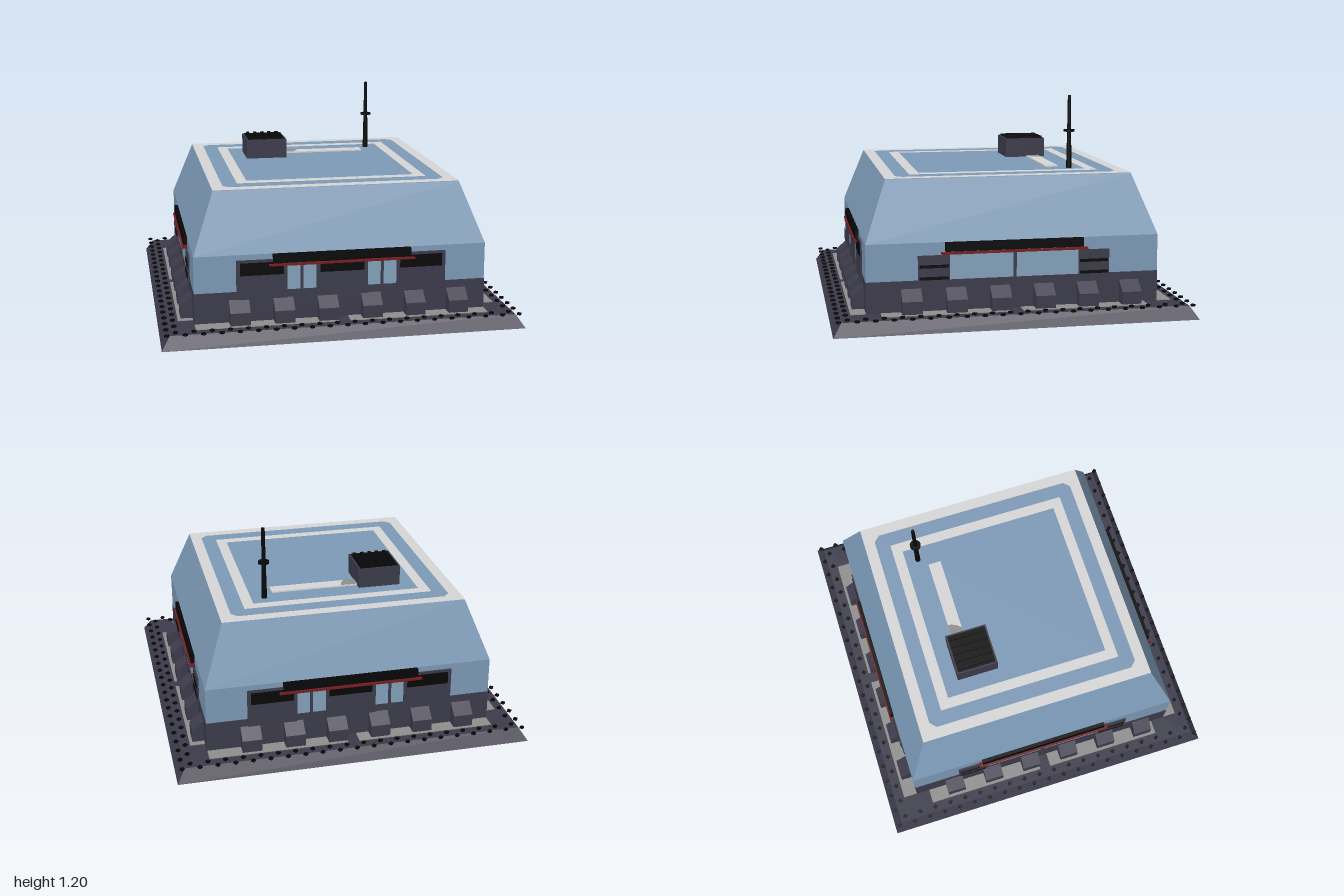
import * as THREE from 'three';

const mat = (name, color, side = THREE.FrontSide) => {
  const m = new THREE.MeshStandardMaterial({ color, side });
  m.name = name;
  return m;
};

export function createModel() {
  const dark = mat('dark slate', 0x3d3b4b, THREE.DoubleSide);
  const blue = mat('blue cladding', 0x7d9ab7);
  const glass = mat('glass', 0x85a2bd);
  const pale = mat('pale grey', 0xd6d6d6);
  const grey = mat('mid grey', 0x8e8e8d);
  const black = mat('black', 0x070707);
  const red = mat('red trim', 0x741c1f);

  const root = new THREE.Group();
  root.name = 'building';

  const add = (parent, name, geometry, material, x = 0, y = 0, z = 0) => {
    const mesh = new THREE.Mesh(geometry, material);
    mesh.name = name;
    mesh.position.set(x, y, z);
    parent.add(mesh);
    return mesh;
  };
  // Box given by its extents on each axis
  const box = (parent, name, material, x0, x1, y0, y1, z0, z1) =>
    add(parent, name, new THREE.BoxGeometry(x1 - x0, y1 - y0, z1 - z0), material,
      (x0 + x1) / 2, (y0 + y1) / 2, (z0 + z1) / 2);
  // Square shell tapering from half width a to half width b, without caps
  const frustum = (name, material, a, b, y0, y1) => {
    const g = new THREE.CylinderGeometry(b * Math.SQRT2, a * Math.SQRT2, y1 - y0, 4, 1, true)
      .rotateY(Math.PI / 4).toNonIndexed();
    g.computeVertexNormals();
    return add(root, name, g, material, 0, (y0 + y1) / 2, 0);
  };
  // Flat square facing up
  const deck = (name, material, r, y) =>
    add(root, name, new THREE.PlaneGeometry(2 * r, 2 * r).rotateX(-Math.PI / 2), material, 0, y, 0);
  // Square outline with cut corners
  const squarePoints = (r, c = 0) => (c
    ? [[r, c - r], [r, r - c], [r - c, r], [c - r, r], [-r, r - c], [-r, c - r], [c - r, -r], [r - c, -r]]
    : [[r, -r], [r, r], [-r, r], [-r, -r]]).map(p => new THREE.Vector2(...p));
  const roofFrame = (name, outer, inner, cut) => {
    const shape = new THREE.Shape(squarePoints(outer));
    shape.holes.push(new THREE.Path(squarePoints(inner, cut)));
    const g = new THREE.ShapeGeometry(shape).rotateX(-Math.PI / 2);
    add(root, name, g, pale, 0, 0.783, 0);
  };

  // Hollow plinth, open underneath, and main body
  frustum('basePlinth', dark, 1, 0.955, 0, 0.07);
  deck('plinthDeck', dark, 0.955, 0.07);
  frustum('lowerWall', dark, 0.814, 0.814, 0.07, 0.245);
  frustum('upperWall', blue, 0.812, 0.812, 0.245, 0.45);
  frustum('slopedRoof', blue, 0.812, 0.69, 0.45, 0.78);
  deck('roofDeck', blue, 0.69, 0.78);

  // Roof markings
  roofFrame('roofBorder', 0.69, 0.625, 0.035);
  roofFrame('roofInnerStripe', 0.54, 0.48, 0);

  // Roof vent with slatted top
  const vent = new THREE.Group();
  vent.name = 'roofVent';
  root.add(vent);
  box(vent, 'ventBox', dark, -0.395, -0.152, 0.78, 0.895, -0.395, -0.152);
  box(vent, 'ventTop', black, -0.385, -0.162, 0.89, 0.898, -0.385, -0.162);
  for (let i = 0; i < 5; i++) {
    const x = -0.363 + i * 0.045;
    box(vent, 'ventSlat', black, x - 0.009, x + 0.009, 0.895, 0.906, -0.385, -0.162);
  }

  // Roof duct with a rounded darker end by the vent
  box(root, 'roofDuct', pale, -0.152, 0.35, 0.78, 0.788, -0.355, -0.28);
  const pad = new THREE.Shape();
  pad.moveTo(-0.152, 0.28);
  pad.lineTo(-0.095, 0.28);
  pad.quadraticCurveTo(-0.06, 0.31, -0.055, 0.355);
  pad.lineTo(-0.152, 0.355);
  add(root, 'ductEnd', new THREE.ShapeGeometry(pad).rotateX(-Math.PI / 2), grey, 0, 0.79, 0);

  // Antenna
  const mast = new THREE.Group();
  mast.name = 'antenna';
  mast.position.set(0.404, 0, -0.407);
  root.add(mast);
  add(mast, 'lowerMast', new THREE.CylinderGeometry(0.012, 0.016, 0.22, 10), black, 0, 0.89, 0);
  add(mast, 'upperMast', new THREE.CylinderGeometry(0.01, 0.012, 0.2, 10), black, 0, 1.1, 0);
  add(mast, 'mastDisc', new THREE.CylinderGeometry(0.032, 0.032, 0.012, 16), black, 0, 0.997, 0);

  // Sloped barrier block, profile in depth and height
  const profile = new THREE.Shape([[0.8, 0.07], [0.88, 0.07], [0.88, 0.145], [0.812, 0.203], [0.8, 0.203]]
    .map(p => new THREE.Vector2(...p)));
  const blockGeo = new THREE.ExtrudeGeometry(profile, { depth: 0.11, bevelEnabled: false })
    .rotateY(-Math.PI / 2).translate(0.055, 0, 0);
  const boltGeo = new THREE.CylinderGeometry(0.014, 0.014, 0.011, 4);

  // Entrance facade: three dark bays with two glazed doors between
  const entrance = side => {
    for (const [x0, x1] of [[-0.583, -0.305], [-0.143, 0.143], [0.305, 0.583]]) {
      box(side, 'bay', dark, x0, x1, 0.2, 0.42, 0.8, 0.82);
      box(side, 'bayWindow', black, x0 + 0.02, x1 - 0.02, 0.335, 0.405, 0.819, 0.824);
    }
    for (const s of [-1, 1]) {
      const x = s * 0.224;
      box(side, 'doorGlass', glass, x - 0.081, x + 0.081, 0.245, 0.4, 0.81, 0.816);
      box(side, 'doorPost', dark, x - 0.008, x + 0.008, 0.245, 0.4, 0.81, 0.82);
    }
  };

  // Window facade: wide glazing with a louvred box at each end
  const windows = side => {
    box(side, 'wideGlass', glass, -0.36, 0.36, 0.245, 0.4, 0.81, 0.816);
    box(side, 'windowPost', dark, -0.009, 0.009, 0.245, 0.4, 0.81, 0.82);
    for (const s of [-1, 1]) {
      const x = s * 0.445;
      box(side, 'louvreBox', dark, x - 0.087, x + 0.087, 0.218, 0.38, 0.8, 0.82);
      for (const y of [0.255, 0.32])
        box(side, 'louvreSlot', black, x - 0.079, x + 0.079, y - 0.008, y + 0.008, 0.818, 0.826);
    }
  };

  for (let k = 0; k < 4; k++) {
    const side = new THREE.Group();
    side.name = ['frontSide', 'leftSide', 'backSide', 'rightSide'][k];
    side.rotation.y = k * Math.PI / 2;
    root.add(side);

    if (k % 2) windows(side); else entrance(side);
    box(side, 'awning', black, -0.383, 0.383, 0.4, 0.45, 0.8, 0.833);
    box(side, 'awningTrim', red, -0.405, 0.405, 0.386, 0.396, 0.8, 0.842);

    // Pavement strips in two halves
    const end = k % 2 ? 0.735 : 0.812;
    for (const [a, b] of [[-end, -0.033], [0.033, end]])
      box(side, 'pavement', grey, a, b, 0.071, 0.075, 0.81, 0.897);

    for (let i = 0; i < 6; i++) add(side, 'barrierBlock', blockGeo, dark, -0.57 + i * 0.2435, 0, 0);

    // Two staggered rows of bolts around the plinth
    for (let i = 0; i < 20; i++) {
      add(side, 'outerBolt', boltGeo, black, -0.97 + i * 0.097, 0.0765, 0.97);
      if (i < 19) add(side, 'innerBolt', boltGeo, black, -0.9215 + i * 0.097, 0.0765, 0.925);
    }
  }
  return root;
}
